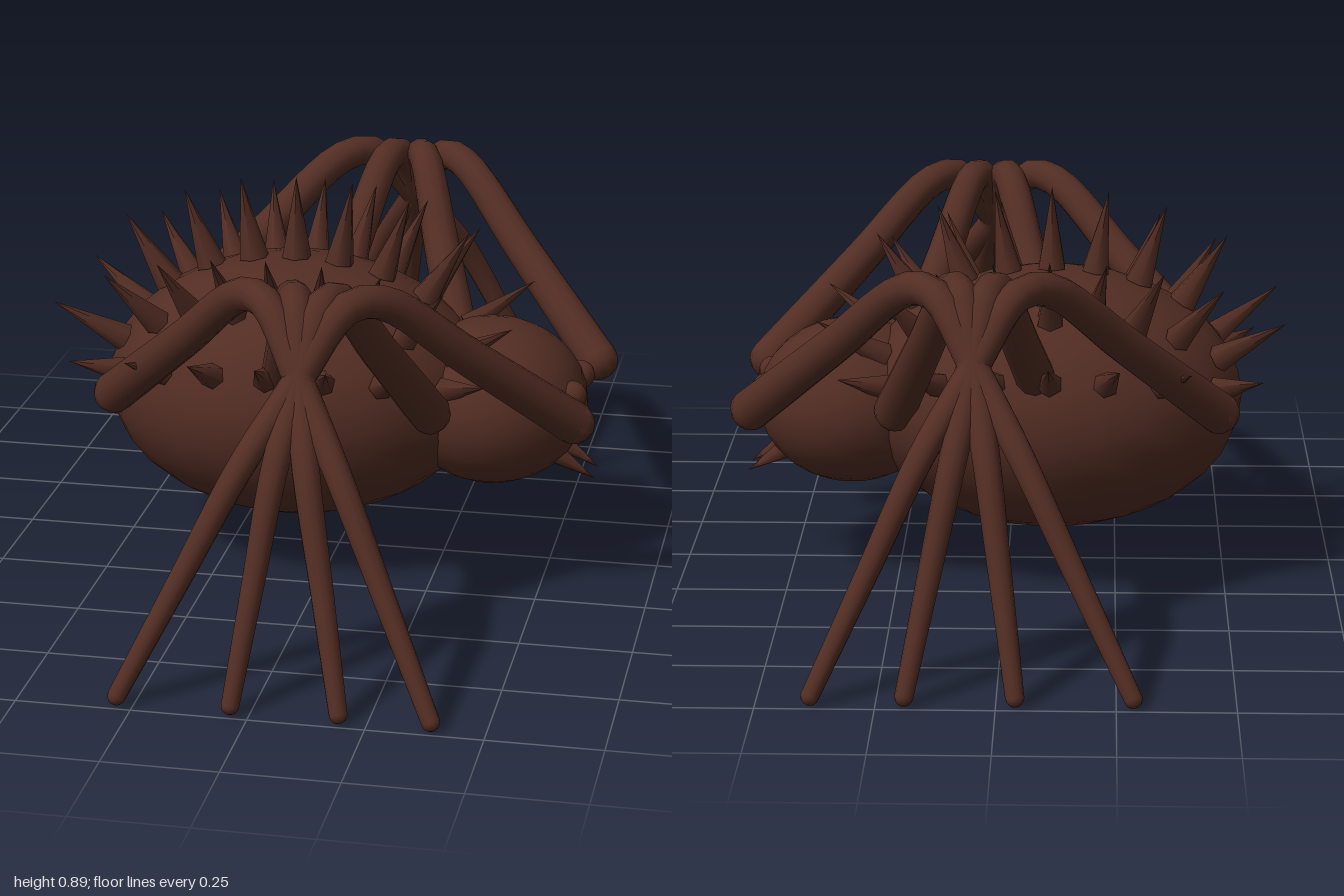
import * as THREE from 'three';

const brown = new THREE.MeshStandardMaterial({ color: 0x522d23 });
brown.name = 'dark brown';

const UP = new THREE.Vector3(0, 1, 0);
const V = (x, y, z) => new THREE.Vector3(x, y, z);

function add(parent, name, geometry) {
  const mesh = new THREE.Mesh(geometry, brown);
  mesh.name = name;
  parent.add(mesh);
  return mesh;
}

function ellipsoid(parent, name, centre, radii, segments = 24) {
  const mesh = add(parent, name, new THREE.SphereGeometry(1, segments, Math.round(segments * 0.67)));
  mesh.position.copy(centre);
  mesh.scale.copy(radii);
  return mesh;
}

// Cone whose base sits at a point and which points along a direction
function spike(parent, name, base, direction, length, radius, sides) {
  const geometry = new THREE.ConeGeometry(radius, length, sides);
  geometry.translate(0, length / 2, 0);
  const mesh = add(parent, name, geometry);
  mesh.position.copy(base);
  mesh.quaternion.setFromUnitVectors(UP, direction.clone().normalize());
}

// Tapered tube through hip, knee, ankle and foot, with round ends
function leg(parent, hip, knee, ankle, foot) {
  const at = (a, b, t) => a.clone().lerp(b, t);
  const curve = new THREE.CatmullRomCurve3([
    hip, at(hip, knee, 0.5), at(hip, knee, 0.9), at(knee, ankle, 0.12),
    at(knee, ankle, 0.55), ankle, at(ankle, foot, 0.5), foot,
  ]);
  const rings = 40, sides = 12, startRadius = 0.048, endRadius = 0.02;
  const geometry = new THREE.TubeGeometry(curve, rings, 1, sides, false);
  const position = geometry.attributes.position;
  const p = V(0, 0, 0);
  for (let i = 0; i <= rings; i++) {
    const t = i / rings;
    const centre = curve.getPointAt(t);
    const radius = THREE.MathUtils.lerp(startRadius, endRadius, t);
    for (let j = 0; j <= sides; j++) {
      const k = i * (sides + 1) + j;
      p.fromBufferAttribute(position, k).sub(centre).multiplyScalar(radius).add(centre);
      position.setXYZ(k, p.x, p.y, p.z);
    }
  }
  add(parent, 'legTube', geometry);
  ellipsoid(parent, 'hipJoint', hip, V(startRadius, startRadius, startRadius), 12);
  ellipsoid(parent, 'footTip', foot, V(endRadius, endRadius, endRadius), 12);
}

export function createModel() {
  const model = new THREE.Group();
  model.name = 'spikySpider';

  // Abdomen and head
  const centre = V(-0.1, 0.4, 0), radii = V(0.44, 0.3, 0.37);
  ellipsoid(model, 'abdomen', centre, radii);
  ellipsoid(model, 'head', V(0.36, 0.385, 0), V(0.22, 0.19, 0.22));

  // Rows of spikes standing along the surface normal of the abdomen
  const spikes = new THREE.Group();
  spikes.name = 'spikes';
  model.add(spikes);
  const row = (name, count, spacing, tilt, length, radius) => {
    for (let i = 0; i < count; i++) {
      const x = (i - (count - 1) / 2) * spacing;
      const k = Math.sqrt(1 - (x / radii.x) ** 2);
      const offset = V(x, radii.y * Math.cos(tilt) * k, radii.z * Math.sin(tilt) * k);
      const normal = offset.clone().divide(radii).divide(radii);
      spike(spikes, name, offset.add(centre), normal, length, radius, 6);
    }
  };
  row('topSpike', 7, 0.1, 0, 0.19, 0.035);
  for (const side of [1, -1]) {
    row('upperSideSpike', 9, 0.095, side * 0.68, 0.19, 0.032);
    row('lowerSideSpike', 7, 0.125, side * 1.17, 0.13, 0.03);
  }

  // Eyes, fangs and legs, mirrored in z
  const hips = [-0.48, -0.1, 0.25, 0.575];
  const knees = [-0.06, 0.02, 0.09, 0.16];
  const ankles = [0.155, 0.09, 0.025, -0.045];
  const feet = [0.385, 0.19, -0.04, -0.285];
  for (const side of [1, -1]) {
    ellipsoid(model, 'eye', V(0.553, 0.432, side * 0.073), V(0.033, 0.033, 0.033), 14);
    spike(model, 'fang', V(0.51, 0.28, side * 0.045), V(0.095, -0.06, -side * 0.008), 0.112, 0.025, 8);
    hips.forEach((hipX, i) => {
      const group = new THREE.Group();
      group.name = 'leg';
      model.add(group);
      leg(group,
        V(hipX, 0.42, side * 0.22), V(knees[i], 0.825, side * 0.59),
        V(ankles[i], 0.5, side * 0.82), V(feet[i], 0.02, side * 0.978));
    });
  }
  return model;
}
